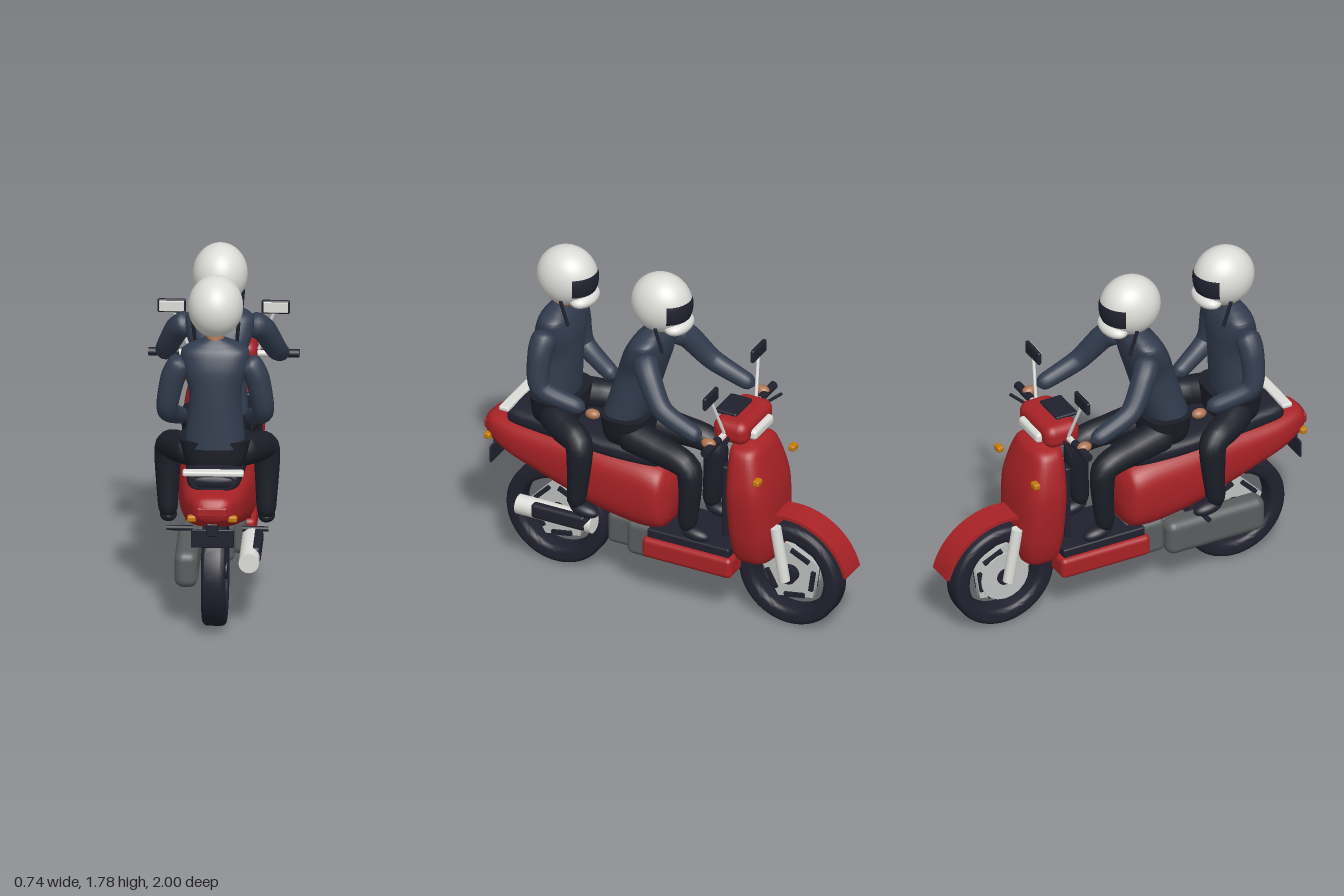
import * as THREE from 'three';
import { mergeVertices, toCreasedNormals } from 'three/addons/utils/BufferGeometryUtils.js';
import { RoundedBoxGeometry } from 'three/addons/geometries/RoundedBoxGeometry.js';

const colour = (name, hex) => Object.assign(new THREE.MeshStandardMaterial({ color: hex }), { name });
const V = (x, y, z) => new THREE.Vector3(x, y, z);
const SIDES = [-1, 1];

const red = colour('red paint', 0xa82226), black = colour('black rubber', 0x20212e);
const cloth = colour('dark trousers', 0x1c1e28), jacket = colour('blue grey jacket', 0x323c4e);
const white = colour('white', 0xdcdcd8), steel = colour('light steel', 0xbfc2c0);
const grey = colour('engine grey', 0x5a5d5e), skin = colour('skin', 0xac7450), amber = colour('amber', 0xc47a0a);

function add(parent, name, geo, mat, at = V(0, 0, 0)) {
  const m = new THREE.Mesh(geo, mat);
  m.name = name;
  m.position.copy(at);
  parent.add(m);
  return m;
}

function group(parent, name) {
  const g = new THREE.Group();
  g.name = name;
  parent.add(g);
  return g;
}

function box(parent, name, mat, size, at, r = 0.01) {
  const radius = Math.min(r, Math.min(size.x, size.y, size.z) / 2.1);
  return add(parent, name, new RoundedBoxGeometry(size.x, size.y, size.z, 3, radius), mat, at);
}

function rod(parent, name, mat, a, b, r) {
  const m = add(parent, name, new THREE.CylinderGeometry(r, r, a.distanceTo(b), 20), mat, a.clone().lerp(b, 0.5));
  m.quaternion.setFromUnitVectors(V(0, 1, 0), b.clone().sub(a).normalize());
}

const ball = (x, y, z) => new THREE.SphereGeometry(1, 28, 20).scale(x, y, z);

// Smooth shell through rounded sections [position, centre, halfWidth, halfDepth];
// positions rise along y, or fall along z when alongZ is set
function loft(sections, power, alongZ = false) {
  const rows = 36, cols = 40, pos = [], idx = [];
  const spline = (a, b) => new THREE.CatmullRomCurve3(sections.map(s => V(s[a], s[b], 0)), false, 'catmullrom', 0.4);
  const mid = spline(0, 1), size = spline(2, 3);
  const put = (x, c, t) => alongZ ? pos.push(x, c, t) : pos.push(x, t, c);
  const bend = v => Math.sign(v) * Math.abs(v) ** (2 / power);
  for (let i = 0; i <= rows; i++) {
    const m = mid.getPoint(i / rows), s = size.getPoint(i / rows);
    for (let j = 0; j < cols; j++) {
      const a = j / cols * Math.PI * 2;
      put(s.x * bend(Math.cos(a)), m.y + s.y * bend(Math.sin(a)), m.x);
      if (i < rows) {
        const p = i * cols + j, q = i * cols + (j + 1) % cols;
        idx.push(p, p + cols, q, q, p + cols, q + cols);
      }
    }
  }
  const n = (rows + 1) * cols, last = rows * cols;
  for (const t of [0, 1]) put(0, mid.getPoint(t).y, mid.getPoint(t).x);
  for (let j = 0; j < cols; j++) {
    const k = (j + 1) % cols;
    idx.push(n, j, k, n + 1, last + k, last + j);
  }
  const g = new THREE.BufferGeometry();
  g.setAttribute('position', new THREE.Float32BufferAttribute(pos, 3));
  g.setIndex(idx);
  return toCreasedNormals(g, 0.9);
}

// Tapered limb with round ends along a bent path
function limb(points, r0, r1) {
  const curve = new THREE.CatmullRomCurve3(points, false, 'catmullrom', 0.35);
  const rows = 28, around = 16, g = new THREE.TubeGeometry(curve, rows, 1, around);
  const p = g.attributes.position, v = V(0, 0, 0);
  for (let n = 0; n < p.count; n++) {
    const t = Math.floor(n / (around + 1)) / rows, c = curve.getPointAt(t);
    const end = Math.min(1, Math.min(t, 1 - t) * 10);
    const r = THREE.MathUtils.lerp(r0, r1, t) * Math.sqrt(1 - (1 - end) ** 2) + 0.0005;
    v.fromBufferAttribute(p, n).sub(c).multiplyScalar(r).add(c);
    p.setXYZ(n, v.x, v.y, v.z);
  }
  g.deleteAttribute('uv');
  g.deleteAttribute('normal');
  const merged = mergeVertices(g, 1e-5);
  merged.computeVertexNormals();
  return merged;
}

// Tyre ring, five-sided plate with bars, axle
function buildWheel(root, name, z) {
  const wheel = group(root, name);
  wheel.position.set(0, 0.28, z);
  wheel.rotation.y = Math.PI / 2;
  const ring = new THREE.Shape().absarc(0, 0, 0.247, 0, Math.PI * 2);
  ring.holes.push(new THREE.Path().absarc(0, 0, 0.217, 0, Math.PI * 2, true));
  const tyre = new THREE.ExtrudeGeometry(ring, { depth: 0.062, bevelSize: 0.028, bevelThickness: 0.029, bevelSegments: 5, curveSegments: 36 });
  add(wheel, 'tyre', toCreasedNormals(tyre, 0.7), black, V(0, 0, -0.031));
  const turn = -8 * Math.PI / 180, step = Math.PI * 2 / 5;
  const plate = add(wheel, 'wheelPlate', new THREE.CylinderGeometry(0.165, 0.165, 0.03, 5), steel);
  plate.rotation.set(Math.PI / 2, turn + step / 2 + Math.PI / 2, 0);
  rod(wheel, 'hub', black, V(0, 0, -0.06), V(0, 0, 0.06), 0.045);
  for (let i = 0; i < 5; i++) {
    const a = turn + i * step;
    const bar = add(wheel, 'wheelBar', new THREE.BoxGeometry(0.022, 0.11, 0.06), black, V(Math.cos(a), Math.sin(a), 0).multiplyScalar(0.12));
    bar.rotation.z = a;
  }
}

// Torso leans along z from the hips; arm and leg joints are given for one side and mirrored
function buildRider(root, name, { waistZ, lean, hipZ, headY, headZ, arm, leg }) {
  const g = group(root, name);
  const spine = y => waistZ + lean * (y - 1);
  const torso = [[0.94, 0.15, 0.11], [1.2, 0.128, 0.112], [1.33, 0.16, 0.107], [1.415, 0.165, 0.085], [1.453, 0.11, 0.058], [1.478, 0.05, 0.035]];
  const hips = [[0.81, 0.125, 0.105], [0.87, 0.152, 0.12], [0.975, 0.178, 0.125]];
  add(g, 'jacket', loft(torso.map(([y, w, d]) => [y, spine(y), w, d]), 2.4), jacket);
  add(g, 'hips', loft(hips.map(([y, w, d]) => [y, hipZ, w, d]), 3), cloth);
  rod(g, 'neck', skin, V(0, 1.43, spine(1.43)), V(0, 1.535, headZ + 0.012), 0.045);

  // Helmet flattened at the bottom, with visor and chin guard
  const head = V(0, headY, headZ), near = (x, y, z) => V(x, y, z).add(head);
  const shell = new THREE.SphereGeometry(1, 40, 30), p = shell.attributes.position;
  for (let i = 0; i < p.count; i++) p.setY(i, Math.max(p.getY(i), -0.86));
  add(g, 'helmet', shell.scale(0.135, 0.153, 0.155), white, head);
  add(g, 'visor', new THREE.SphereGeometry(1, 28, 10, Math.PI * 1.5 - 1, 2, 1.3, 0.66).scale(0.139, 0.157, 0.159), black, head);
  add(g, 'chinGuard', ball(0.105, 0.042, 0.065), white, near(0, -0.1, -0.095));
  add(g, 'chin', ball(0.05, 0.05, 0.055), skin, near(0, -0.12, -0.04));

  for (const s of SIDES) {
    const joints = list => list.map(v => V(s * v.x, v.y, v.z));
    const arms = joints(arm), legs = joints(leg);
    rod(g, 'helmetStrap', black, near(s * 0.112, -0.09, -0.02), near(s * 0.1, -0.225, -0.055), 0.009);
    add(g, 'sleeve', limb(arms, 0.066, 0.04), jacket);
    add(g, 'hand', ball(0.028, 0.025, 0.038), skin, arms.at(-1).add(V(0, -0.012, -0.04)));
    add(g, 'trouserLeg', limb(legs, 0.088, 0.044), cloth);
    add(g, 'shoe', ball(0.042, 0.034, 0.078), black, legs.at(-1).add(V(0, 0.006, -0.047))).rotation.x = -0.15;
  }
}

export function createModel() {
  const root = new THREE.Group();
  root.name = 'scooterWithRiders';
  buildWheel(root, 'rearWheel', 0.615);
  buildWheel(root, 'frontWheel', -0.665);
  rod(root, 'brakeDisc', steel, V(-0.045, 0.28, -0.665), V(-0.053, 0.28, -0.665), 0.13);

  // Front mudguard: arc strip over the wheel
  const arc = new THREE.Shape().absarc(0, 0, 0.345, 0.25, 1.78).absarc(0, 0, 0.327, 1.78, 0.25, true);
  const strip = new THREE.ExtrudeGeometry(arc, { depth: 0.145, bevelEnabled: false, curveSegments: 30 }).translate(0, 0, -0.0725);
  add(root, 'frontMudguard', toCreasedNormals(strip, 0.6), red, V(0, 0.28, -0.665)).rotation.y = Math.PI / 2;

  // Bodywork
  add(root, 'rearBody', loft([[0.995, 0.7, 0.06, 0.04], [0.95, 0.7, 0.1, 0.073], [0.8, 0.67, 0.148, 0.104], [0.36, 0.603, 0.19, 0.178],
    [0.12, 0.575, 0.195, 0.192], [0, 0.565, 0.185, 0.172], [-0.04, 0.56, 0.13, 0.12]], 3, true), red);
  add(root, 'legShield', loft([[0.31, -0.48, 0.07, 0.05], [0.36, -0.483, 0.14, 0.1], [0.5, -0.485, 0.18, 0.122], [0.75, -0.475, 0.2, 0.118],
    [0.95, -0.45, 0.15, 0.085], [0.99, -0.44, 0.07, 0.045]], 3), red);
  add(root, 'seat', loft([[0.85, 0.81, 0.09, 0.025], [0.8, 0.81, 0.13, 0.052], [0.3, 0.785, 0.155, 0.055], [0.05, 0.775, 0.13, 0.05],
    [-0.01, 0.765, 0.08, 0.02]], 3, true), black);
  box(root, 'innerPanel', black, V(0.27, 0.4, 0.03), V(0, 0.66, -0.358));
  rod(root, 'steeringNeck', red, V(0, 0.95, -0.42), V(0, 1.05, -0.4), 0.05);
  box(root, 'floorboard', red, V(0.35, 0.11, 0.49), V(0, 0.3, -0.165), 0.025);
  box(root, 'floorMat', black, V(0.3, 0.05, 0.45), V(0, 0.375, -0.165));
  box(root, 'grabRail', white, V(0.3, 0.026, 0.055), V(0, 0.862, 0.85));
  box(root, 'tailLamp', red, V(0.15, 0.05, 0.05), V(0, 0.705, 0.972));
  box(root, 'plateMount', black, V(0.06, 0.07, 0.07), V(0, 0.605, 0.935));
  box(root, 'numberPlate', black, V(0.21, 0.095, 0.012), V(0, 0.555, 0.945));

  // Engine and exhaust
  box(root, 'engineBlock', grey, V(0.26, 0.19, 0.24), V(0, 0.305, 0.07), 0.035);
  box(root, 'engineBridge', grey, V(0.2, 0.17, 0.16), V(-0.02, 0.3, 0.24), 0.03);
  box(root, 'driveCase', grey, V(0.115, 0.185, 0.54), V(-0.14, 0.3, 0.44), 0.045);
  rod(root, 'exhaust', white, V(0.17, 0.362, 0.34), V(0.17, 0.362, 0.755), 0.05);
  box(root, 'exhaustShield', black, V(0.05, 0.08, 0.3), V(0.2, 0.372, 0.515), 0.02);

  // Handlebar housing
  box(root, 'headset', red, V(0.33, 0.125, 0.19), V(0, 1.07, -0.392), 0.05);
  box(root, 'headlamp', white, V(0.2, 0.055, 0.06), V(0, 1.055, -0.485), 0.02);
  box(root, 'dashboard', black, V(0.18, 0.02, 0.12), V(0, 1.135, -0.34));

  // Mirrored fittings
  for (const s of SIDES) {
    rod(root, 'forkLeg', white, V(s * 0.085, 0.27, -0.665), V(s * 0.085, 0.56, -0.615), 0.028);
    box(root, 'rearIndicator', amber, V(0.045, 0.032, 0.035), V(s * 0.1, 0.663, 0.958));
    box(root, 'frontIndicator', amber, V(0.05, 0.032, 0.035), V(s * 0.19, 0.86, -0.57));
    rod(root, 'footPeg', black, V(s * 0.12, 0.405, 0.36), V(s * 0.25, 0.405, 0.36), 0.013);
    rod(root, 'handlebar', white, V(s * 0.14, 1.06, -0.37), V(s * 0.24, 1.06, -0.37), 0.016);
    rod(root, 'grip', black, V(s * 0.22, 1.062, -0.37), V(s * 0.37, 1.062, -0.37), 0.021);
    rod(root, 'brakeLever', black, V(s * 0.18, 1.06, -0.405), V(s * 0.315, 1.06, -0.44), 0.008);
    rod(root, 'mirrorStem', white, V(s * 0.17, 1.08, -0.375), V(s * 0.25, 1.29, -0.347), 0.008);
    box(root, 'mirrorShell', black, V(0.14, 0.07, 0.022), V(s * 0.255, 1.31, -0.345));
    box(root, 'mirrorGlass', white, V(0.122, 0.054, 0.008), V(s * 0.255, 1.31, -0.333));
  }

  buildRider(root, 'driver', { waistZ: 0.225, lean: -0.3, hipZ: 0.22, headY: 1.618, headZ: 0.055,
    arm: [V(0.14, 1.38, 0.08), V(0.21, 1.32, 0.02), V(0.27, 1.18, -0.09), V(0.285, 1.085, -0.31)],
    leg: [V(0.08, 0.88, 0.24), V(0.11, 0.845, 0.02), V(0.135, 0.785, -0.165), V(0.13, 0.43, -0.15)] });
  buildRider(root, 'passenger', { waistZ: 0.63, lean: -0.055, hipZ: 0.61, headY: 1.63, headZ: 0.575,
    arm: [V(0.145, 1.38, 0.61), V(0.205, 1.28, 0.62), V(0.235, 1.1, 0.6), V(0.165, 0.995, 0.39)],
    leg: [V(0.09, 0.9, 0.62), V(0.18, 0.875, 0.5), V(0.24, 0.825, 0.385), V(0.24, 0.47, 0.405)] });
  return root;
}
